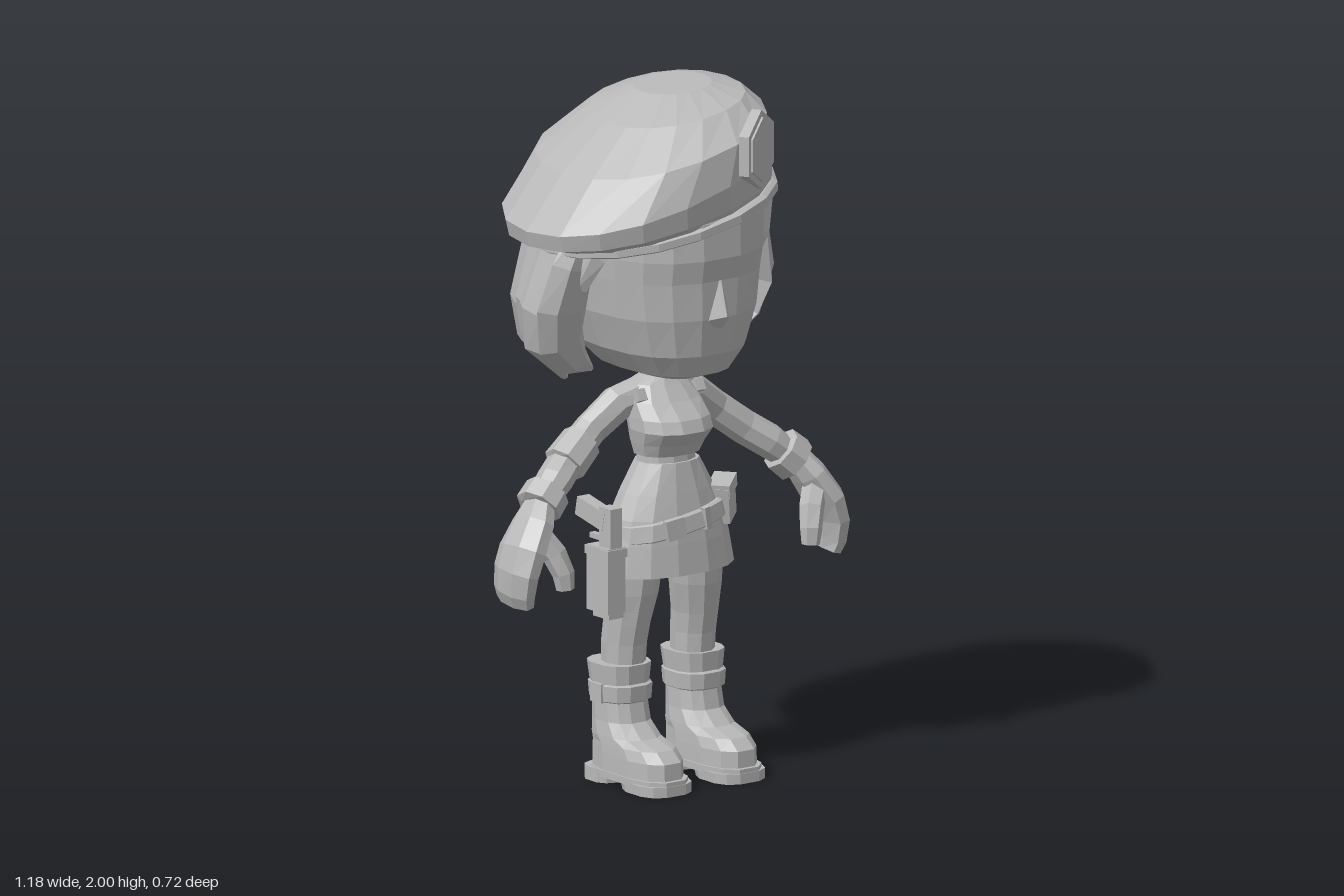
import * as THREE from 'three';

const grey = new THREE.MeshStandardMaterial({ color: 0xb8b8b8, flatShading: true });
grey.name = 'plain grey';

// Skin a list of equal-length point rings, closing both ends; winding is fixed by signed volume.
function loft(rings) {
  const n = rings[0].length, tris = [];
  const mid = r => r.reduce((s, p) => s.add(p), new THREE.Vector3()).divideScalar(n);
  const first = rings[0], last = rings[rings.length - 1];
  const a = mid(first), b = mid(last);
  for (let j = 0; j < n; j++) {
    const k = (j + 1) % n;
    tris.push([a, first[k], first[j]], [b, last[j], last[k]]);
    for (let i = 0; i + 1 < rings.length; i++) {
      const r = rings[i], q = rings[i + 1];
      tris.push([r[j], r[k], q[k]], [r[j], q[k], q[j]]);
    }
  }
  const cross = new THREE.Vector3();
  const volume = tris.reduce((s, t) => s + t[0].dot(cross.crossVectors(t[1], t[2])), 0);
  const points = tris.flatMap(t => volume < 0 ? [t[0], t[2], t[1]] : t);
  const geo = new THREE.BufferGeometry().setFromPoints(points);
  geo.computeVertexNormals();
  return geo;
}

// Horizontal super-ellipse ring: height, centre x, half width, front z, back z
function ring(y, cx, rx, zf, zb, n = 12, p = 2, slope = 0) {
  const bend = v => Math.sign(v) * Math.pow(Math.abs(v), 2 / p);
  return Array.from({ length: n }, (_, i) => {
    const a = (i + 0.5) / n * Math.PI * 2, x = bend(Math.sin(a)) * rx;
    return new THREE.Vector3(cx + x, y + slope * x, (zf + zb) / 2 + bend(Math.cos(a)) * (zf - zb) / 2);
  });
}
const stack = (rows, n, p) => loft(rows.map(r => ring(r[0], r[1], r[2], r[3], r[4], n, p)));

// Limb along a path of [x, y, z, half width along ref, half width across]; phase turns the section
function limb(path, n = 8, ref = new THREE.Vector3(0, 0, 1), phase = 0) {
  const pts = path.map(p => new THREE.Vector3(p[0], p[1], p[2]));
  return loft(path.map((p, i) => {
    const t = pts[Math.min(i + 1, pts.length - 1)].clone().sub(pts[Math.max(i - 1, 0)]).normalize();
    const u = ref.clone().addScaledVector(t, -ref.dot(t)).normalize();
    const v = t.clone().cross(u);
    return Array.from({ length: n }, (_, j) => {
      const a = (j + phase) / n * Math.PI * 2;
      return pts[i].clone().addScaledVector(u, Math.cos(a) * p[3]).addScaledVector(v, Math.sin(a) * p[4]);
    });
  }));
}

export function createModel() {
  const model = new THREE.Group();
  const add = (name, geo, pos, rot) => {
    const mesh = new THREE.Mesh(geo, grey);
    mesh.name = name;
    if (pos) mesh.position.set(...pos);
    if (rot) mesh.rotation.set(...rot);
    model.add(mesh);
  };
  const box = (name, size, pos, rot) => add(name, new THREE.BoxGeometry(...size), pos, rot);
  const sideways = new THREE.Vector3(1, 0, 0);

  // Head with a shallow slope at the eyes, and a nose
  add('head', stack([
    [1.18, 0, 0.08, 0.19, -0.09], [1.205, 0, 0.15, 0.265, -0.17], [1.27, 0, 0.205, 0.30, -0.245],
    [1.38, 0, 0.243, 0.318, -0.28], [1.49, 0, 0.257, 0.322, -0.29], [1.555, 0, 0.262, 0.334, -0.29],
    [1.66, 0, 0.265, 0.33, -0.29], [1.78, 0, 0.23, 0.28, -0.25]], 18, 2.5));
  const v = (x, y, z) => new THREE.Vector3(x, y, z);
  add('nose', loft([
    [v(-0.03, 1.35, 0.30), v(0.03, 1.35, 0.30), v(0, 1.35, 0.32)],
    [v(-0.052, 1.372, 0.30), v(0.052, 1.372, 0.30), v(0, 1.39, 0.352)],
    [v(-0.01, 1.49, 0.31), v(0.01, 1.49, 0.31), v(0, 1.49, 0.324)]]));

  // Beret: tilted rings given by left and right ends [x0, y0, x1, y1, half depth]
  const tilted = rows => loft(rows.map(([x0, y0, x1, y1, d]) =>
    ring((y0 + y1) / 2, (x0 + x1) / 2, (x1 - x0) / 2, d, -d, 18, 2.15, (y1 - y0) / (x1 - x0))));
  add('beret', tilted([
    [-0.37, 1.575, 0.335, 1.73, 0.32], [-0.435, 1.59, 0.342, 1.76, 0.335], [-0.445, 1.635, 0.332, 1.85, 0.345],
    [-0.32, 1.785, 0.31, 1.94, 0.33], [-0.17, 1.91, 0.26, 1.985, 0.235], [-0.04, 1.982, 0.18, 2.0, 0.11]]));
  add('beretBand', tilted([
    [-0.365, 1.56, 0.345, 1.70, 0.328], [-0.375, 1.565, 0.355, 1.71, 0.342],
    [-0.375, 1.585, 0.352, 1.735, 0.342], [-0.36, 1.59, 0.34, 1.745, 0.325]]));

  // Hexagonal badge with a raised centre
  const badge = new THREE.Group();
  badge.name = 'badge';
  [[0.115, 0.03, 0], [0.095, 0.01, 0.016]].forEach(([r, h, z]) => {
    const plate = new THREE.Mesh(new THREE.CylinderGeometry(r, r, h, 6).rotateX(Math.PI / 2), grey);
    plate.name = 'badgePlate';
    plate.position.z = z;
    badge.add(plate);
  });
  badge.position.set(0.148, 1.845, 0.293);
  badge.rotation.y = 0.56;
  model.add(badge);

  // Hair strands fanned round the back, sweeping rearwards as they fall
  const profile = [[1.70, 0.30, 0.285, 0.075], [1.54, 0.34, 0.318, 0.085], [1.40, 0.38, 0.328, 0.08],
    [1.30, 0.365, 0.308, 0.062], [1.20, 0.27, 0.245, 0.014]];
  const count = 13;
  for (let i = 0; i < count; i++) {
    const start = (i / (count - 1) - 0.5) * 3.3, out = i % 2 ? 0.99 : 1.02;
    const tangent = new THREE.Vector3(Math.cos(start), 0, Math.sin(start));
    add('hairStrand', limb(profile.map(([y, rx, rz, w], k) => {
      const a = start * (1 - 0.045 * k), drop = i % 2 ? 0 : 0.006 * k;
      return [Math.sin(a) * rx * out, y - drop, -Math.cos(a) * rz * out, w, k === 4 ? 0.01 : 0.03];
    }), 6, tangent));
  }
  for (const s of [-1, 1]) {
    // Front locks swept back from the brow
    add('frontLock', limb([[s * 0.25, 1.70, 0.17, 0.06, 0.03], [s * 0.285, 1.58, 0.11, 0.06, 0.03],
      [s * 0.30, 1.47, 0.05, 0.04, 0.025], [s * 0.29, 1.41, 0.03, 0.01, 0.01]], 6));
    // Broad side locks that curl in under the jaw, a little further forward on the right
    const z = s < 0 ? 0.05 : 0, pull = s < 0 ? 0.015 : 0;
    add('sideLock', limb([[0.285, 1.66, 0.01, 0.05, 0.04], [0.335, 1.52, 0, 0.075, 0.045],
      [0.358, 1.40, -0.02, 0.088, 0.045], [0.345, 1.30, -0.04, 0.078, 0.04],
      [0.285, 1.23, -0.05, 0.045, 0.03], [0.225, 1.20, -0.06, 0.01, 0.01]]
      .map(p => [s * (p[0] - pull), p[1], p[2] + z, p[3], p[4]]), 6, sideways));
  }

  // Neck, top, bare waist and skirt
  add('neck', stack([[1.08, 0, 0.06, 0.09, -0.03], [1.15, 0, 0.045, 0.085, -0.015], [1.23, 0, 0.045, 0.09, -0.01]], 10));
  add('top', stack([
    [0.945, 0, 0.098, 0.145, -0.015], [0.98, 0, 0.108, 0.165, -0.025], [1.02, 0, 0.118, 0.20, -0.03],
    [1.055, 0, 0.118, 0.185, -0.04], [1.10, 0, 0.115, 0.135, -0.045], [1.145, 0, 0.09, 0.095, -0.04],
    [1.165, 0, 0.05, 0.08, -0.02]], 12, 2.3));
  add('waist', stack([[0.89, 0, 0.095, 0.14, -0.01], [0.96, 0, 0.09, 0.135, -0.01]], 12));
  add('skirt', stack([
    [0.61, 0, 0.21, 0.20, -0.06], [0.70, 0, 0.195, 0.19, -0.058], [0.77, 0, 0.178, 0.18, -0.052],
    [0.84, 0, 0.145, 0.165, -0.035], [0.925, 0, 0.097, 0.145, -0.012]], 14, 2.2));

  // Sloping belt with buckle, loop and pouch
  const beltRing = (y, g) => ring(y, 0, 0.182 + g, 0.186 + g, -0.056 - g, 14, 2.2, 0.16);
  add('belt', loft([beltRing(0.73, 0.004), beltRing(0.735, 0.01), beltRing(0.78, 0.003), beltRing(0.785, -0.006)]));
  box('buckle', [0.06, 0.06, 0.02], [-0.06, 0.748, 0.187], [0, -0.15, 0.16]);
  box('beltLoop', [0.02, 0.065, 0.02], [0.05, 0.765, 0.187], [0, 0.15, 0.16]);
  box('pouch', [0.085, 0.105, 0.055], [0.16, 0.785, 0.12], [0, 0.7, 0.2]);
  box('pouchFlap', [0.095, 0.04, 0.065], [0.157, 0.83, 0.12], [0, 0.7, 0.2]);

  // Holster and sidearm beside the right hip
  box('holster', [0.062, 0.19, 0.10], [-0.25, 0.62, 0.115]);
  box('holsterTip', [0.052, 0.05, 0.075], [-0.25, 0.535, 0.125]);
  box('holsterStrap', [0.07, 0.025, 0.11], [-0.25, 0.70, 0.115]);
  box('sidearmSlide', [0.04, 0.13, 0.055], [-0.25, 0.765, 0.135]);
  box('sidearmGrip', [0.042, 0.055, 0.13], [-0.25, 0.80, 0.065], [0.2, 0, 0]);
  box('sidearmGuard', [0.02, 0.015, 0.06], [-0.25, 0.735, 0.08]);

  for (const s of [-1, 1]) {
    // Arm, cuff and strap clip
    add('arm', limb([[s * 0.05, 1.115, 0.02, 0.055, 0.05], [s * 0.13, 1.09, 0.008, 0.05, 0.054],
      [s * 0.22, 1.025, 0, 0.045, 0.05], [s * 0.31, 0.958, 0.015, 0.052, 0.05],
      [s * 0.38, 0.91, 0.045, 0.055, 0.05], [s * 0.46, 0.845, 0.07, 0.045, 0.04]], 8));
    add('cuff', limb([[s * 0.408, 0.888, 0.055, 0.05, 0.045], [s * 0.412, 0.885, 0.056, 0.068, 0.066],
      [s * 0.455, 0.848, 0.068, 0.07, 0.068], [s * 0.46, 0.844, 0.07, 0.05, 0.045]], 8));
    box('strapClip', [0.03, 0.035, 0.02], [s * 0.103, 1.122, 0.08], [-0.5, 0, 0]);

    // Blocky mitten-like hand with a separate thumb
    add('hand', limb([[s * 0.45, 0.86, 0.07, 0.05, 0.04], [s * 0.485, 0.81, 0.085, 0.075, 0.047],
      [s * 0.53, 0.74, 0.095, 0.09, 0.049], [s * 0.55, 0.68, 0.092, 0.09, 0.044],
      [s * 0.552, 0.62, 0.085, 0.082, 0.039], [s * 0.545, 0.59, 0.08, 0.075, 0.032]], 8, undefined, 0.5));
    add('thumb', limb([[s * 0.495, 0.79, 0.11, 0.04, 0.035], [s * 0.455, 0.725, 0.145, 0.037, 0.036],
      [s * 0.438, 0.67, 0.165, 0.032, 0.032], [s * 0.434, 0.625, 0.168, 0.026, 0.026]], 6));

    // Leg
    add('leg', stack([
      [0.30, s * 0.122, 0.06, 0.09, -0.04], [0.40, s * 0.122, 0.062, 0.10, -0.042], [0.46, s * 0.12, 0.064, 0.113, -0.034],
      [0.55, s * 0.112, 0.074, 0.132, -0.025], [0.66, s * 0.105, 0.08, 0.145, -0.03]], 10));

    // Boot with rolled top, strap, and a sole with a separate heel
    const x = s * 0.13;
    add('boot', stack([
      [0.03, x, 0.083, 0.275, -0.065], [0.09, x, 0.082, 0.272, -0.063], [0.12, x, 0.08, 0.235, -0.06],
      [0.14, x, 0.078, 0.16, -0.058], [0.18, x, 0.072, 0.112, -0.056], [0.24, x, 0.07, 0.098, -0.058],
      [0.345, x, 0.082, 0.105, -0.073], [0.345, x, 0.062, 0.085, -0.045]], 12, 2.6));
    add('bootStrap', stack([[0.235, x, 0.07, 0.10, -0.055], [0.24, x, 0.08, 0.109, -0.065],
      [0.285, x, 0.083, 0.112, -0.069], [0.29, x, 0.07, 0.10, -0.055]], 12, 2.5));
    box('strapBuckle', [0.016, 0.055, 0.05], [x + s * 0.078, 0.262, 0.02]);
    add('sole', stack([[0.022, x, 0.088, 0.288, -0.07], [0.042, x, 0.088, 0.288, -0.07]], 12, 2.8));
    add('frontSole', stack([[0, x, 0.086, 0.288, 0.10], [0.03, x, 0.088, 0.288, 0.09]], 12, 2.8));
    add('heel', stack([[0, x, 0.085, 0.06, -0.07], [0.04, x, 0.085, 0.065, -0.07]], 12, 3));
  }

  // Extra wrap on the right elbow
  add('elbowWrap', limb([[-0.25, 1.003, 0.008, 0.045, 0.04], [-0.255, 0.999, 0.008, 0.06, 0.06],
    [-0.33, 0.944, 0.024, 0.064, 0.064], [-0.335, 0.94, 0.026, 0.045, 0.04]], 8));

  return model;
}
